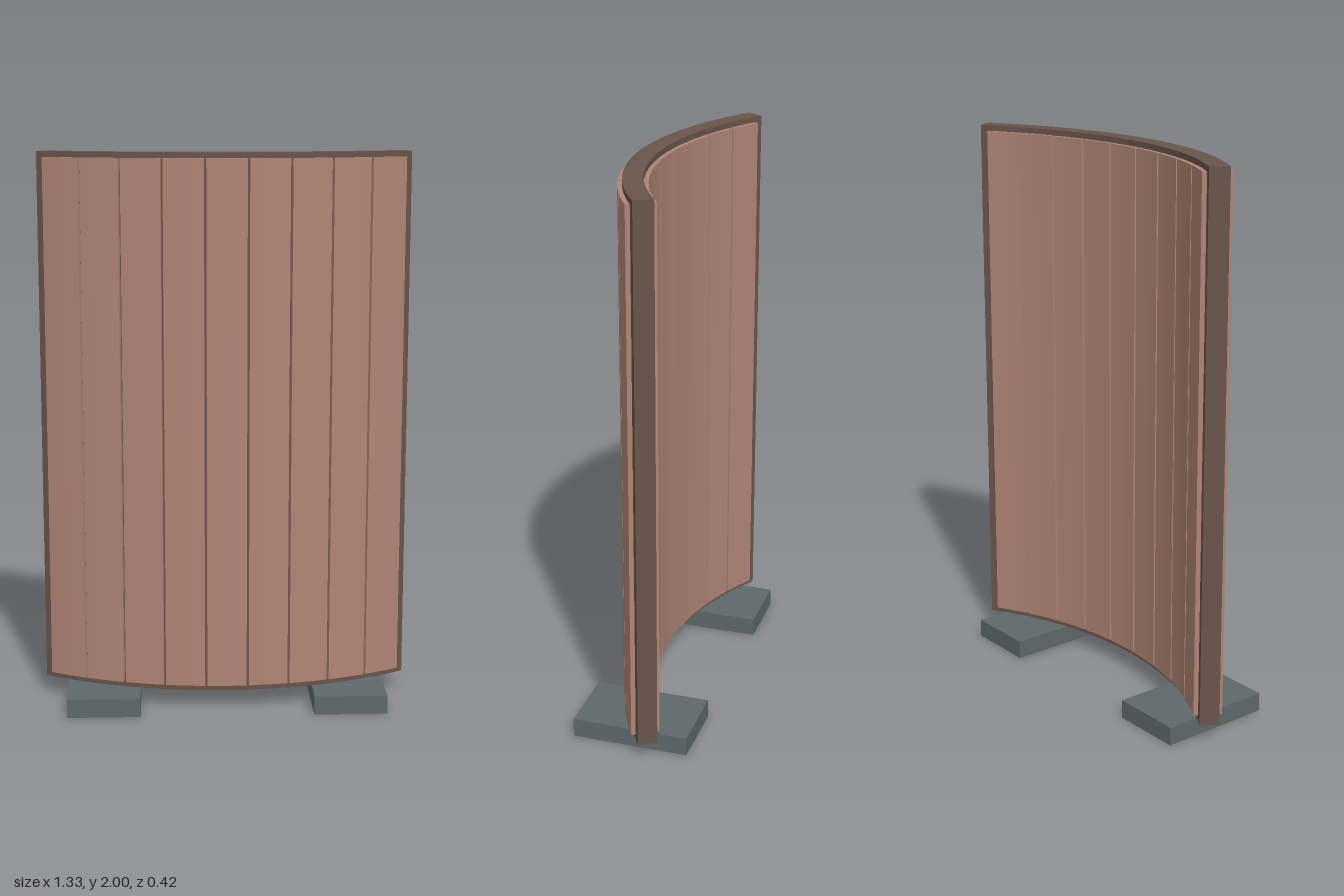
import * as THREE from 'three';
import { toCreasedNormals } from 'three/addons/utils/BufferGeometryUtils.js';

const CENTRE_Z = -1.122; // axis of the curve, behind the panel
const CORE_IN = 1.182, CORE_OUT = 1.251;
const SKIN = 0.016; // slat thickness
const SLATS = 9, PITCH = 0.119, GAP = 0.0065;

// Vertical slab following an arc, from angle a0 to a1 (0 = facing +z)
function arcSlab(rIn, rOut, a0, a1, y0, y1, segments) {
  const shape = new THREE.Shape();
  const mid = Math.PI / 2;
  shape.absarc(0, 0, rOut, mid + a0, mid + a1, false);
  shape.absarc(0, 0, rIn, mid + a1, mid + a0, true);
  shape.closePath();
  const geo = new THREE.ExtrudeGeometry(shape, {
    depth: y1 - y0, bevelEnabled: false, curveSegments: segments,
  });
  geo.rotateX(Math.PI / 2);
  geo.translate(0, y1, CENTRE_Z);
  return toCreasedNormals(geo, 0.5);
}

export function createModel() {
  const model = new THREE.Group();
  model.name = 'curvedScreen';
  const wood = new THREE.MeshStandardMaterial({ name: 'light wood', color: 0xb08576 });
  const darkWood = new THREE.MeshStandardMaterial({ name: 'dark wood', color: 0x69544b });
  const metal = new THREE.MeshStandardMaterial({ name: 'grey metal', color: 0x5e696b });

  const add = (name, geo, material) => {
    const mesh = new THREE.Mesh(geo, material);
    mesh.name = name;
    model.add(mesh);
    return mesh;
  };

  // Curved core, standing proud as a frame around the slats
  add('core', arcSlab(CORE_IN, CORE_OUT, -0.56, 0.56, 0.068, 2, 36), darkWood);

  // Slats on both faces, with narrow gaps between them
  for (let i = 0; i < SLATS; i++) {
    const a = (i - (SLATS - 1) / 2) * PITCH;
    const half = (PITCH - GAP) / 2;
    add('frontSlat' + (i + 1),
      arcSlab(CORE_OUT, CORE_OUT + SKIN, a - half, a + half, 0.09, 1.98, 4), wood);
    add('backSlat' + (i + 1),
      arcSlab(CORE_IN - SKIN, CORE_IN, a - half, a + half, 0.09, 1.98, 4), wood);
  }

  // Two flat feet
  for (const side of [-1, 1]) {
    const foot = add(side > 0 ? 'leftFoot' : 'rightFoot',
      new THREE.BoxGeometry(0.264, 0.068, 0.42), metal);
    foot.position.set(side * 0.445, 0.034, 0);
  }
  return model;
}
